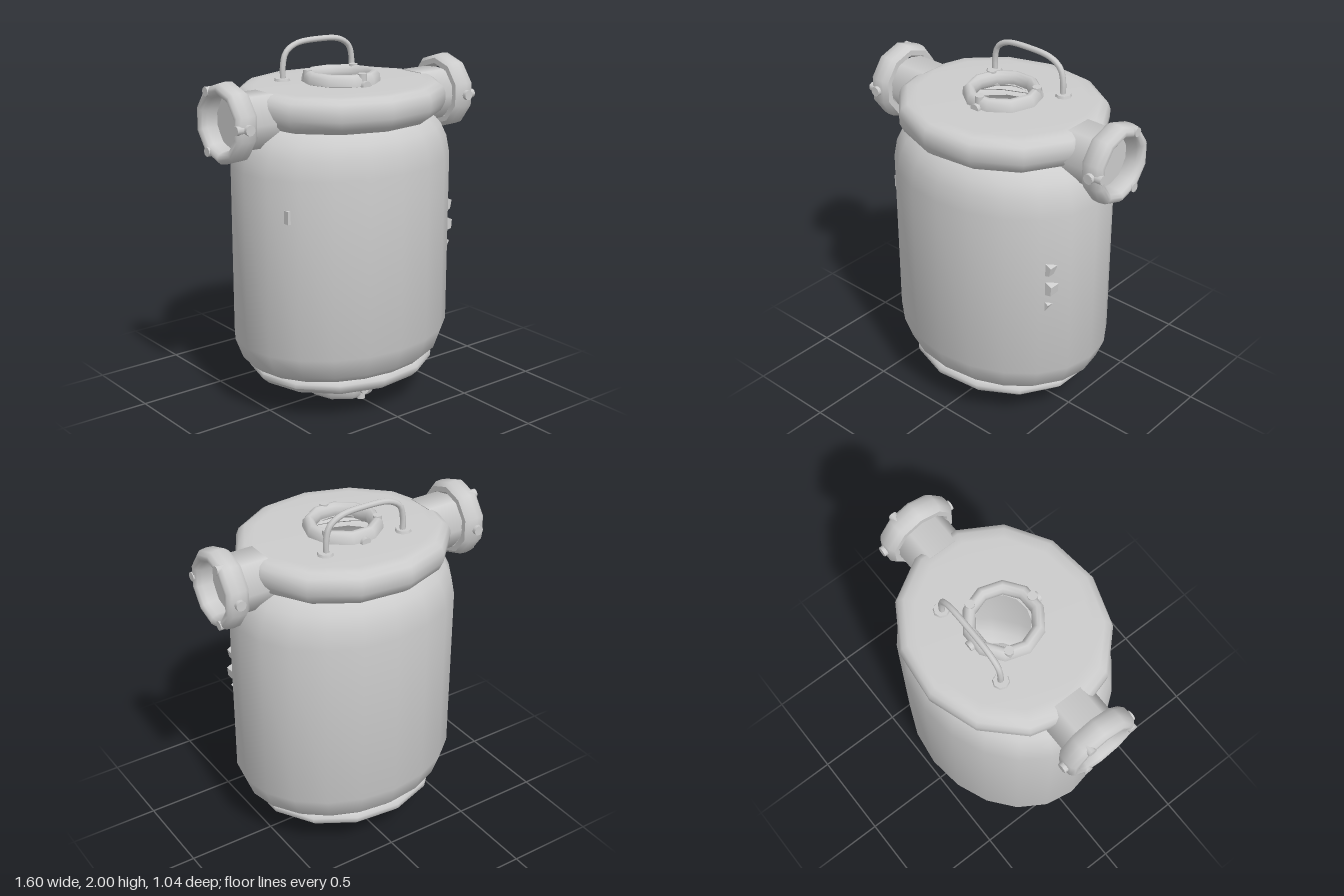
import * as THREE from 'three';
import { toCreasedNormals } from 'three/addons/utils/BufferGeometryUtils.js';

export function createModel() {
  const model = new THREE.Group();
  model.name = 'pressureVessel';
  const paint = new THREE.MeshStandardMaterial({ color: 0xcccccc, side: THREE.DoubleSide });
  paint.name = 'light grey';

  const add = (parent, name, geometry, x = 0, y = 0, z = 0) => {
    const mesh = new THREE.Mesh(geometry, paint);
    mesh.name = name;
    mesh.position.set(x, y, z);
    parent.add(mesh);
    return mesh;
  };

  // Oval lathe: radii are given along x and squashed along z
  const oval = (points, sides, squash) => {
    const pts = points.map(([r, y]) => new THREE.Vector2(r, y));
    const g = new THREE.LatheGeometry(pts, sides, -Math.PI / 2);
    g.scale(1, 1, squash);
    return toCreasedNormals(g, 0.9);
  };

  // Main shell, hollow
  add(model, 'body', oval([
    [0.5, 0.235], [0.545, 0.245], [0.595, 0.285], [0.64, 0.4], [0.64, 1.37],
    [0.62, 1.47], [0.585, 1.54], [0.53, 1.59], [0.47, 1.62],
  ], 20, 0.815));

  // Bottom cap with a rolled rim and a drain opening
  add(model, 'bottomCap', oval([
    [0.15, 0.115], [0.28, 0.125], [0.42, 0.145], [0.5, 0.165], [0.54, 0.2],
    [0.54, 0.225], [0.52, 0.245], [0.46, 0.25],
  ], 13, 0.87));

  // Lid with a thick rounded rim and a top opening
  add(model, 'lid', oval([
    [0.44, 1.59], [0.52, 1.595], [0.565, 1.625], [0.588, 1.67], [0.59, 1.72],
    [0.575, 1.757], [0.54, 1.778], [0.48, 1.782], [0.15, 1.782],
  ], 13, 0.89));

  // Rounded ring flange along +y, outer face at y = 0, with bolts
  const flange = (name, depth) => {
    const g = new THREE.Group();
    g.name = name;
    add(g, 'ring', oval([
      [0.145, -depth + 0.02], [0.16, -depth], [0.19, -depth], [0.21, -depth + 0.025],
      [0.213, -0.06], [0.208, -0.022], [0.19, -0.003], [0.172, 0],
      [0.155, -0.012], [0.146, -0.035], [0.145, -depth + 0.02],
    ], 10, 1));
    for (let i = 0; i < 3; i++) {
      const a = i * Math.PI * 2 / 3;
      add(g, 'faceBolt', new THREE.CylinderGeometry(0.025, 0.025, 0.05, 10),
        Math.sin(a) * 0.18, -0.021, Math.cos(a) * 0.18);
    }
    for (const s of [-1, 1]) {
      add(g, 'sideBolt', new THREE.CylinderGeometry(0.028, 0.028, 0.04, 10), 0, -0.06, s * 0.202)
        .rotation.x = Math.PI / 2;
    }
    model.add(g);
    return g;
  };

  flange('topFlange', 0.08).position.y = 1.845;
  const drain = flange('bottomFlange', 0.12);
  drain.position.y = 0.005;
  drain.rotation.z = Math.PI;

  // Side ports: hexagonal neck with a flange at its end
  for (const s of [-1, 1]) {
    const side = s > 0 ? 'left' : 'right';
    const port = flange(side + 'Flange', 0.125);
    port.position.set(s * 0.797, 1.65, 0);
    port.rotation.z = -s * Math.PI / 2;
    const neck = add(model, side + 'Neck',
      new THREE.CylinderGeometry(0.157, 0.157, 0.2, 6), s * 0.6, 1.647, 0);
    neck.rotation.z = -s * Math.PI / 2;
  }

  // Carrying handle on two round feet
  const path = new THREE.CatmullRomCurve3([
    [-0.235, 1.78], [-0.235, 1.86], [-0.215, 1.93], [-0.15, 1.972], [0, 1.985],
    [0.15, 1.972], [0.215, 1.93], [0.235, 1.86], [0.235, 1.78],
  ].map(([x, y]) => new THREE.Vector3(x, y, -0.205)));
  add(model, 'handle', new THREE.TubeGeometry(path, 28, 0.016, 8));
  for (const s of [-1, 1]) {
    add(model, 'handleFoot', new THREE.CylinderGeometry(0.04, 0.045, 0.016, 8), s * 0.24, 1.788, -0.205);
  }

  // Inner cross bars above the drain
  add(model, 'innerBar', new THREE.CylinderGeometry(0.03, 0.03, 0.4, 8), 0.033, 0.2, 0)
    .rotation.x = Math.PI / 2;
  add(model, 'innerCrossBar', new THREE.BoxGeometry(0.3, 0.03, 0.03), 0, 0.2, -0.135);

  // Small raised chips on the shell
  const chip = (name, x, y, w, h, taper) => {
    const shape = new THREE.Shape();
    shape.moveTo(-w / 2, -h / 2);
    shape.lineTo(w / 2 * taper, -h / 2 + h * 0.1);
    shape.lineTo(w / 2, h * 0.25);
    shape.lineTo(-w / 2, h / 2);
    const g = new THREE.ExtrudeGeometry(shape, { depth: 0.06, bevelEnabled: false });
    add(model, name, g, x, y, 0.22);
  };
  chip('upperChip', 0.552, 1.065, 0.036, 0.075, 0.4);
  chip('middleChip', 0.555, 0.95, 0.042, 0.08, 0.8);
  chip('lowerChip', 0.545, 0.835, 0.026, 0.06, -0.6);
  add(model, 'smallTab', new THREE.BoxGeometry(0.018, 0.07, 0.06), -0.55, 1.18, 0.245);

  return model;
}
